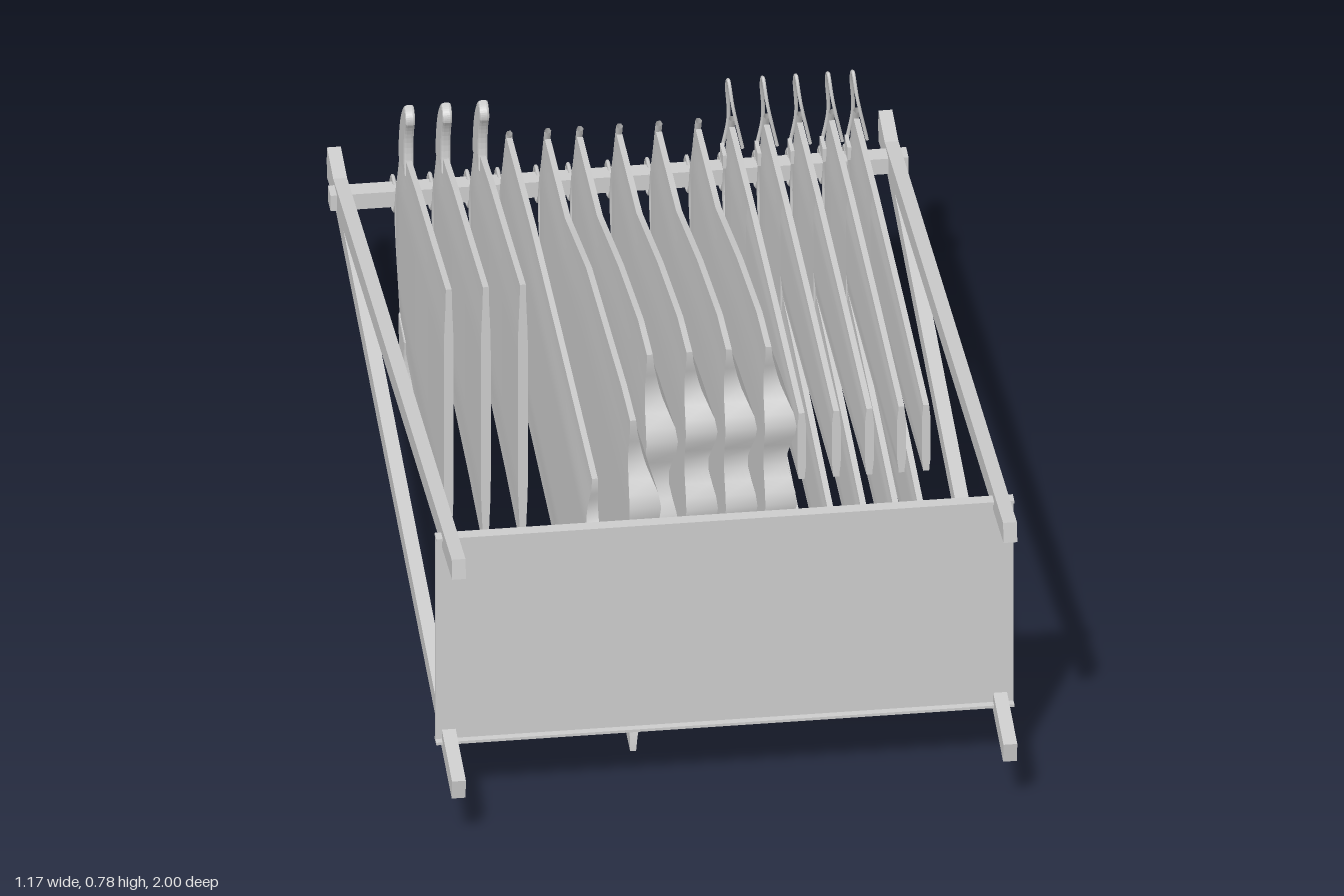
import * as THREE from 'three';
import { toCreasedNormals } from 'three/addons/utils/BufferGeometryUtils.js';

const material = new THREE.MeshStandardMaterial({ color: 0xcccccc, side: THREE.DoubleSide });
const MID = 0.395; // height of the rail

function add(parent, name, geometry, x = 0, y = 0, z = 0) {
  const mesh = new THREE.Mesh(geometry, material);
  mesh.name = name;
  mesh.position.set(x, y, z);
  parent.add(mesh);
  return mesh;
}

// Square bar between two points of a side profile
function beam(parent, name, x, [z0, y0], [z1, y1]) {
  const bar = add(parent, name, new THREE.BoxGeometry(0.028, 0.044, Math.hypot(z1 - z0, y1 - y0)),
    x, (y0 + y1) / 2, (z0 + z1) / 2);
  bar.rotation.x = -Math.atan2(y1 - y0, z1 - z0);
}

// Cloth lofted through rows of [z, yLow, yHigh, thicknessLeft, thicknessRight];
// folds ripple the cloth and scallop the hem towards the last rows
function cloth(rows, folds = 0) {
  const N = 28, STEPS = 4, pos = [], index = [], R = 2 * (N + 1);
  const sections = [];
  for (let r = 0; r < rows.length - 1; r++) {
    for (let s = 0; s < STEPS; s++) {
      sections.push(rows[r].map((v, k) => THREE.MathUtils.lerp(v, rows[r + 1][k], s / STEPS)));
    }
  }
  sections.push(rows[rows.length - 1]);
  sections.forEach(([z, lo, hi, tn, tp], s) => {
    const grow = (s / (sections.length - 1)) ** 3;
    for (let k = 0; k < R; k++) {
      const right = k <= N;
      const u = right ? k / N : (R - 1 - k) / N;
      const wave = folds ? Math.cos(u * Math.PI * 2 * folds) * grow : 0;
      const body = THREE.MathUtils.smoothstep(Math.min(u, 1 - u), 0, 0.24);
      const x = right ? 0.006 + (tp - 0.006) * body * (1 + 0.2 * wave) : -0.006 - (tn - 0.006) * body;
      pos.push(x, lo + (hi - lo) * u, z + wave * 0.015 - grow * (folds ? 0.03 : 0) * (2 * u - 1) ** 2);
    }
  });
  for (let s = 0; s < sections.length - 1; s++) {
    for (let k = 0; k < R; k++) {
      const a = s * R + k, b = s * R + (k + 1) % R;
      index.push(a, b, a + R, b, b + R, a + R);
    }
  }
  // Close both ends
  for (const base of [0, (sections.length - 1) * R]) {
    for (let k = 0; k < N; k++) {
      const a = base + k, b = a + 1, c = base + R - 1 - k, d = c - 1;
      if (base) index.push(a, b, c, b, d, c);
      else index.push(a, c, b, b, c, d);
    }
  }
  const g = new THREE.BufferGeometry();
  g.setAttribute('position', new THREE.Float32BufferAttribute(pos, 3));
  g.setIndex(index);
  return toCreasedNormals(g, 0.8);
}

// Wire through [x, y, z] points
function wire(points, radius = 0.004, closed = false) {
  const curve = new THREE.CatmullRomCurve3(points.map(p => new THREE.Vector3(...p)), closed, 'centripetal');
  return new THREE.TubeGeometry(curve, 36, radius, 6, closed);
}

function hanger(parent) {
  const hook = [[0, MID + 0.035, -0.84], [0, MID + 0.035, -0.87], [0, MID, -0.892],
    [0, MID - 0.035, -0.87], [0, MID - 0.03, -0.84], [0, MID, -0.81], [0, MID, -0.77]];
  add(parent, 'hangerHook', wire(hook));
  add(parent, 'hangerArms', wire([[0, 0.16, -0.68], [0, 0.24, -0.72], [0, MID, -0.785],
    [0, 0.55, -0.72], [0, 0.63, -0.68]], 0.007));
}

function hang(root, name, x, build) {
  const group = new THREE.Group();
  group.name = name;
  group.position.x = x;
  hanger(group);
  build(group);
  root.add(group);
}

export function createModel() {
  const root = new THREE.Group();
  root.name = 'clothesRack';

  // Crossed side frames, rail and lipped panel
  for (const x of [-0.558, 0.558]) {
    beam(root, 'upperBeam', x, [-0.997, 0.38], [0.997, 0.654]);
    beam(root, 'lowerBeam', x, [-0.997, 0.408], [0.997, 0.134]);
  }
  add(root, 'rail', new THREE.BoxGeometry(1.17, 0.036, 0.04), 0, MID, -0.856);
  add(root, 'panel', new THREE.BoxGeometry(1.17, 0.48, 0.005), 0, 0.394, 0.834);
  for (const y of [0.154, 0.634]) add(root, 'panelLip', new THREE.BoxGeometry(1.17, 0.006, 0.026), 0, y, 0.838);

  // Short shirts with flared sleeves
  for (const x of [-0.455, -0.38, -0.305]) {
    hang(root, 'shirt', x, g => {
      add(g, 'shirtBody', cloth([
        [-0.75, 0.3, 0.49, 0.008, 0.008], [-0.69, 0.18, 0.61, 0.011, 0.011],
        [-0.45, 0.15, 0.65, 0.011, 0.011], [-0.2, 0.13, 0.68, 0.01, 0.01],
        [0.025, 0.1, 0.71, 0.01, 0.01]]));
      for (const s of [-1, 1]) {
        const sleeve = new THREE.Shape();
        sleeve.moveTo(0.7, 0.19);
        sleeve.quadraticCurveTo(0.69, 0.3, 0.61, 0.355);
        sleeve.quadraticCurveTo(0.585, 0.35, 0.59, 0.33);
        sleeve.quadraticCurveTo(0.63, 0.28, 0.61, 0.2);
        const mesh = add(g, 'shirtSleeve', new THREE.ExtrudeGeometry(sleeve,
          { depth: 0.01, bevelSize: 0.005, bevelThickness: 0.005, bevelSegments: 2, curveSegments: 10 }), -0.005, MID, 0);
        // Shape x runs along -z and shape y runs across the shirt
        mesh.rotation.y = Math.PI / 2;
        mesh.scale.y = s;
      }
    });
  }

  // Long narrow coat
  hang(root, 'coat', -0.243, g => add(g, 'coatBody', cloth([
    [-0.77, 0.34, 0.46, 0.006, 0.008], [-0.68, 0.17, 0.62, 0.01, 0.012], [-0.3, 0.16, 0.645, 0.011, 0.011],
    [0.2, 0.14, 0.65, 0.013, 0.012], [0.7, 0.13, 0.652, 0.017, 0.01]], 3)));

  // Flared dresses: [x, hem z, lowest y]
  for (const [x, hem, low] of [[-0.165, 0.695, 0], [-0.1, 0.45, 0], [-0.02, 0.45, 0.07], [0.06, 0.45, 0.07], [0.14, 0.45, 0.07]]) {
    hang(root, 'dress', x, g => add(g, 'dressBody', cloth([
      [-0.76, 0.32, 0.47, 0.006, 0.006], [-0.68, 0.18, 0.61, 0.01, 0.01],
      [-0.36, 0.16, 0.62, 0.01, 0.012], [-0.02, (low + 0.16) / 2 + 0.02, 0.71, 0.01, 0.026],
      [hem - 0.15, low + 0.01, 0.775, 0.01, 0.042], [hem, low, 0.78, 0.01, 0.046]], 4)));
  }

  // Trousers with wire loops at the waist
  for (const x of [0.208, 0.278, 0.345, 0.41, 0.46]) {
    hang(root, 'trousers', x, g => {
      add(g, 'trouserWaist', cloth([
        [-0.75, 0.28, 0.51, 0.006, 0.006], [-0.68, 0.17, 0.61, 0.012, 0.012],
        [-0.38, 0.15, 0.62, 0.01, 0.01]]));
      add(g, 'lowerLeg', cloth([[-0.38, 0.15, 0.39, 0.01, 0.01], [0, 0.145, 0.36, 0.009, 0.009],
        [0.43, 0.14, 0.32, 0.009, 0.009]]));
      add(g, 'upperLeg', cloth([[-0.38, 0.39, 0.62, 0.01, 0.01], [0, 0.42, 0.62, 0.009, 0.009],
        [0.43, 0.46, 0.615, 0.009, 0.009]]));
      for (const s of [-1, 1]) {
        const out = d => MID + s * d;
        add(g, 'waistLoop', wire([[0.02, out(0.17), -0.67], [0, out(0.27), -0.67], [-0.006 * s, out(0.32), -0.69],
          [-0.006 * s, out(0.29), -0.715], [0, out(0.2), -0.74], [-0.012, out(0.12), -0.75]], 0.004));
        for (const side of [-1, 1]) {
          add(g, 'hangerClip', new THREE.BoxGeometry(0.008, 0.03, 0.05), side * 0.014, out(0.13), -0.71);
        }
      }
    });
  }
  return root;
}
